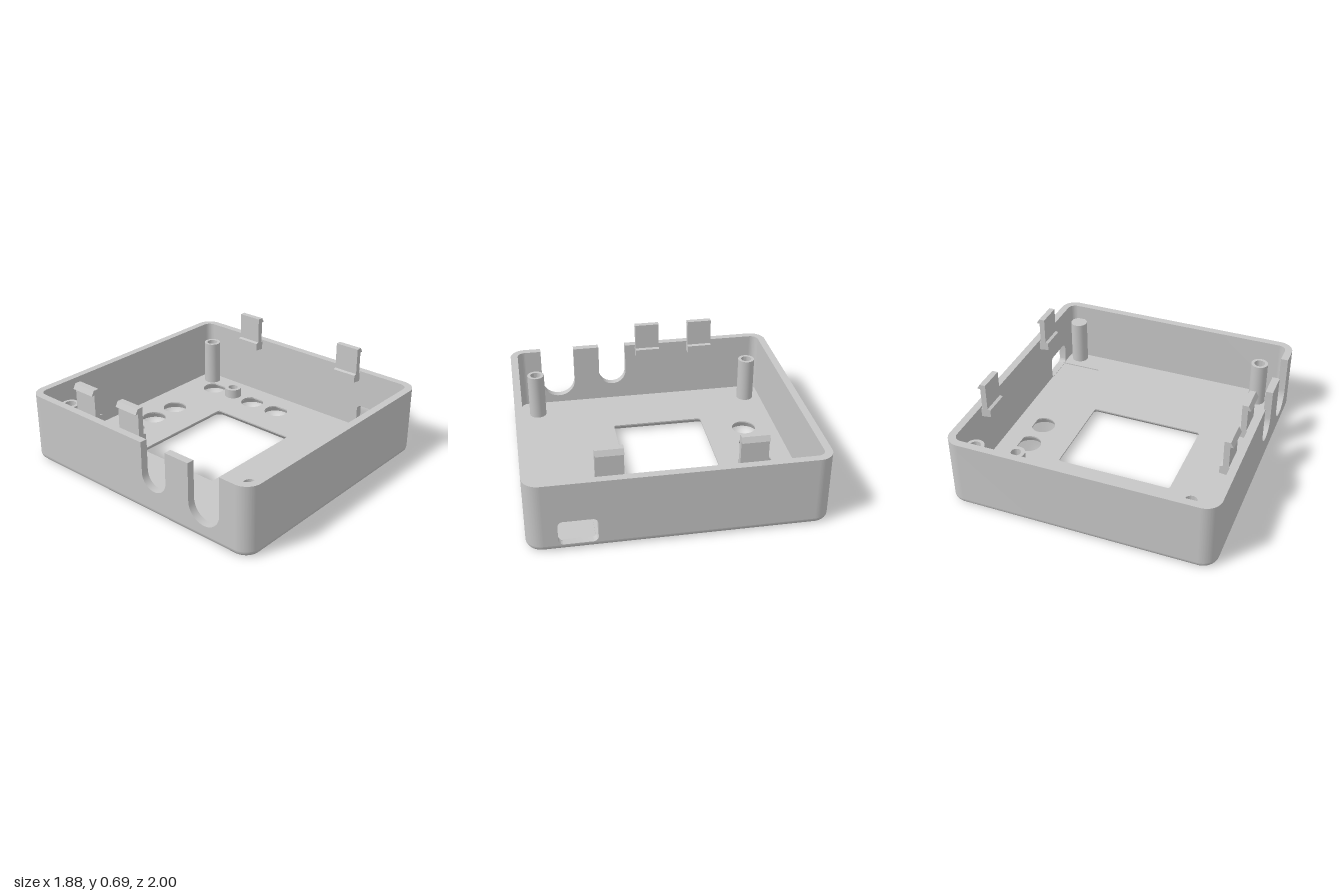
import * as THREE from 'three';
import { toCreasedNormals } from 'three/addons/utils/BufferGeometryUtils.js';

const W = 0.94, D = 1, H = 0.5, WALL = 0.053, R = 0.11; // outer half sizes, height
const BASE = 0.04, FLOOR = 0.05; // floor layers; BASE is also the lower edge fillet

const grey = new THREE.MeshStandardMaterial({ color: 0xc6c6c6 });
grey.name = 'grey plastic';

function roundRect(x0, y0, x1, y1, r, Type = THREE.Path) {
  const p = new Type();
  p.moveTo(x0 + r, y0);
  p.absarc(x1 - r, y0 + r, r, -Math.PI / 2, 0);
  p.absarc(x1 - r, y1 - r, r, 0, Math.PI / 2);
  p.absarc(x0 + r, y1 - r, r, Math.PI / 2, Math.PI);
  p.absarc(x0 + r, y0 + r, r, Math.PI, Math.PI * 1.5);
  p.closePath();
  return p;
}

function polygon(points) {
  return new THREE.Shape(points.map(([x, y]) => new THREE.Vector2(x, y)));
}

// circular hole, optionally cut flat on its +x side
function circle(x, y, r, flat = r) {
  const a = flat < r ? Math.acos(flat / r) : 0;
  const p = new THREE.Path();
  p.absarc(x, y, r, a, Math.PI * 2 - a);
  return p;
}

function extrude(shape, depth) {
  const g = new THREE.ExtrudeGeometry(shape, { depth, bevelEnabled: false, curveSegments: 16 });
  return toCreasedNormals(g, 0.6);
}

// plan shape (x, z) raised from y0 to y1
function slab(shape, y0, y1) {
  return extrude(shape, y1 - y0).rotateX(Math.PI / 2).translate(0, y1, 0);
}

// side shape (z, y) given wall thickness, ending at x = outer
function sidePanel(shape, outer) {
  return extrude(shape, WALL).rotateY(-Math.PI / 2).translate(outer, 0, 0);
}

// skin between plan outlines: faces outward going up, inward going down
function loft(sections) {
  const pos = [], idx = [];
  let n = 0;
  for (const [path, y] of sections) {
    const pts = path.getPoints(16);
    n = pts.length;
    pts.forEach((p) => pos.push(p.x, y, p.y));
  }
  for (let k = 0; k < sections.length - 1; k++) {
    for (let i = 0; i < n; i++) {
      const a = k * n + i, b = k * n + (i + 1) % n;
      idx.push(a, a + n, b, b, a + n, b + n);
    }
  }
  const g = new THREE.BufferGeometry();
  g.setAttribute('position', new THREE.Float32BufferAttribute(pos, 3));
  g.setIndex(idx);
  g.computeVertexNormals();
  return g;
}

export function createModel() {
  const model = new THREE.Group();
  const add = (name, geometry) => {
    const m = new THREE.Mesh(geometry, grey);
    m.name = name;
    model.add(m);
    return m;
  };

  // floor openings, each flaring out towards the underside
  const backHoles = [-0.248, -0.02, 0.21].map((x) => [x, -0.705]);
  const sideHoles = [-0.705, -0.305, -0.065].map((z) => [0.68, z]);
  const windowHole = (d) =>
    roundRect(-0.437 - d, -0.405 - d, 0.398 + d, 0.265 + d, 0.018 + d);
  const flares = [[windowHole(0), windowHole(0.037)]];
  [...backHoles, ...sideHoles].forEach(([x, z]) =>
    flares.push([circle(x, z, 0.088), circle(x, z, 0.107)]));
  flares.push([circle(0.68, -0.505, 0.037), circle(0.68, -0.505, 0.037)]);
  flares.forEach(([top, bottom]) => add('holeFlare', loft([[top, BASE], [bottom, 0]])));

  // underside and rounded lower edge
  const under = roundRect(-W + BASE, -D + BASE, W - BASE, D - BASE, R - BASE, THREE.Shape);
  under.holes.push(...flares.map(([, bottom]) => bottom));
  add('underside', new THREE.ShapeGeometry(under, 16).rotateX(Math.PI / 2));
  const skirt = [];
  for (let k = 0; k <= 6; k++) {
    const a = (k / 6) * Math.PI / 2;
    const d = BASE * (1 - Math.sin(a));
    skirt.push([roundRect(-W + d, -D + d, W - d, D - d, R - d), BASE * (1 - Math.cos(a))]);
  }
  add('bottomFillet', loft(skirt));

  // inner floor with the shallow port recess in its right edge
  const floor = polygon([[-0.9, -0.95], [0.9, -0.95], [0.9, 0.555], [0.58, 0.555],
    [0.58, 0.77], [0.9, 0.77], [0.9, 0.95], [-0.9, 0.95]]);
  floor.holes.push(windowHole(0), circle(0.68, -0.505, 0.037));
  backHoles.forEach(([x, z]) => floor.holes.push(circle(x, z, 0.088)));
  sideHoles.forEach(([x, z]) => floor.holes.push(circle(x, z, 0.088, 0.07)));
  add('innerFloor', slab(floor, BASE, FLOOR));
  add('recessFloor', new THREE.BoxGeometry(0.33, 0.02, 0.225)).position.set(0.74, 0.032, 0.6625);

  // front and back walls with rounded corners
  const cut = D - R, inner = R - WALL;
  const end = new THREE.Shape();
  end.moveTo(W, cut);
  end.absarc(W - R, cut, R, 0, Math.PI / 2);
  end.absarc(-W + R, cut, R, Math.PI / 2, Math.PI);
  end.lineTo(-W + WALL, cut);
  end.absarc(-W + R, cut, inner, Math.PI, Math.PI / 2, true);
  end.absarc(W - R, cut, inner, Math.PI / 2, 0, true);
  end.closePath();
  const endWall = slab(end, BASE, H);
  add('frontWall', endWall);
  add('backWall', endWall).rotation.y = Math.PI;

  // +x wall with the port opening
  const portWall = polygon([[-cut, BASE], [cut, BASE], [cut, H], [-cut, H]]);
  portWall.holes.push(roundRect(0.54, 0.045, 0.797, 0.22, 0.035));
  add('portWall', sidePanel(portWall, W));

  // -x wall with two open U slots
  const slotWall = new THREE.Shape();
  slotWall.moveTo(-cut, BASE);
  slotWall.lineTo(cut, BASE);
  slotWall.lineTo(cut, H);
  [[0.6425, 0.1275, 0.232], [0.215, 0.105, 0.28]].forEach(([z, r, y]) => {
    slotWall.lineTo(z + r, H);
    slotWall.absarc(z, y, r, 0, Math.PI, true);
    slotWall.lineTo(z - r, H);
  });
  slotWall.lineTo(-cut, H);
  slotWall.closePath();
  add('slotWall', sidePanel(slotWall, -W + WALL));

  // snap clips: foot on the wall, stem and outward hook
  const clipProfile = [[0.9, 0.42], [0.817, 0.43], [0.817, 0.485], [0.838, 0.492], [0.838, 0.685],
    [0.88, 0.685], [0.9, 0.65], [0.878, 0.65], [0.878, 0.485], [0.9, 0.485]];
  [[1, -0.562], [1, 0.36], [-1, -0.562], [-1, -0.15]].forEach(([s, z]) => {
    const shape = polygon(clipProfile.map(([x, y]) => [x * s, y]));
    add('snapClip', extrude(shape, 0.183).translate(0, 0, z));
  });

  // hollow screw posts, one solid post, and a short tube around the small hole
  const postTop = 0.388;
  const hollow = (name, x, z, profile) => {
    const g = new THREE.LatheGeometry(profile.map(([r, y]) => new THREE.Vector2(r, y)), 32);
    add(name, toCreasedNormals(g, 0.6)).position.set(x, 0, z);
  };
  [[-0.72, -0.83], [0.797, -0.83], [-0.72, 0.825]].forEach(([x, z]) =>
    hollow('screwPost', x, z,
      [[0.063, BASE], [0.063, postTop], [0.04, postTop], [0.04, 0.1], [0, 0.1]]));
  hollow('lightTube', 0.68, -0.505, [[0.065, BASE], [0.065, 0.12], [0.037, 0.12], [0.037, BASE]]);
  const post = new THREE.CylinderGeometry(0.063, 0.063, postTop - BASE, 32);
  add('solidPost', post).position.set(0.797, (postTop + BASE) / 2, 0.89);

  return model;
}
